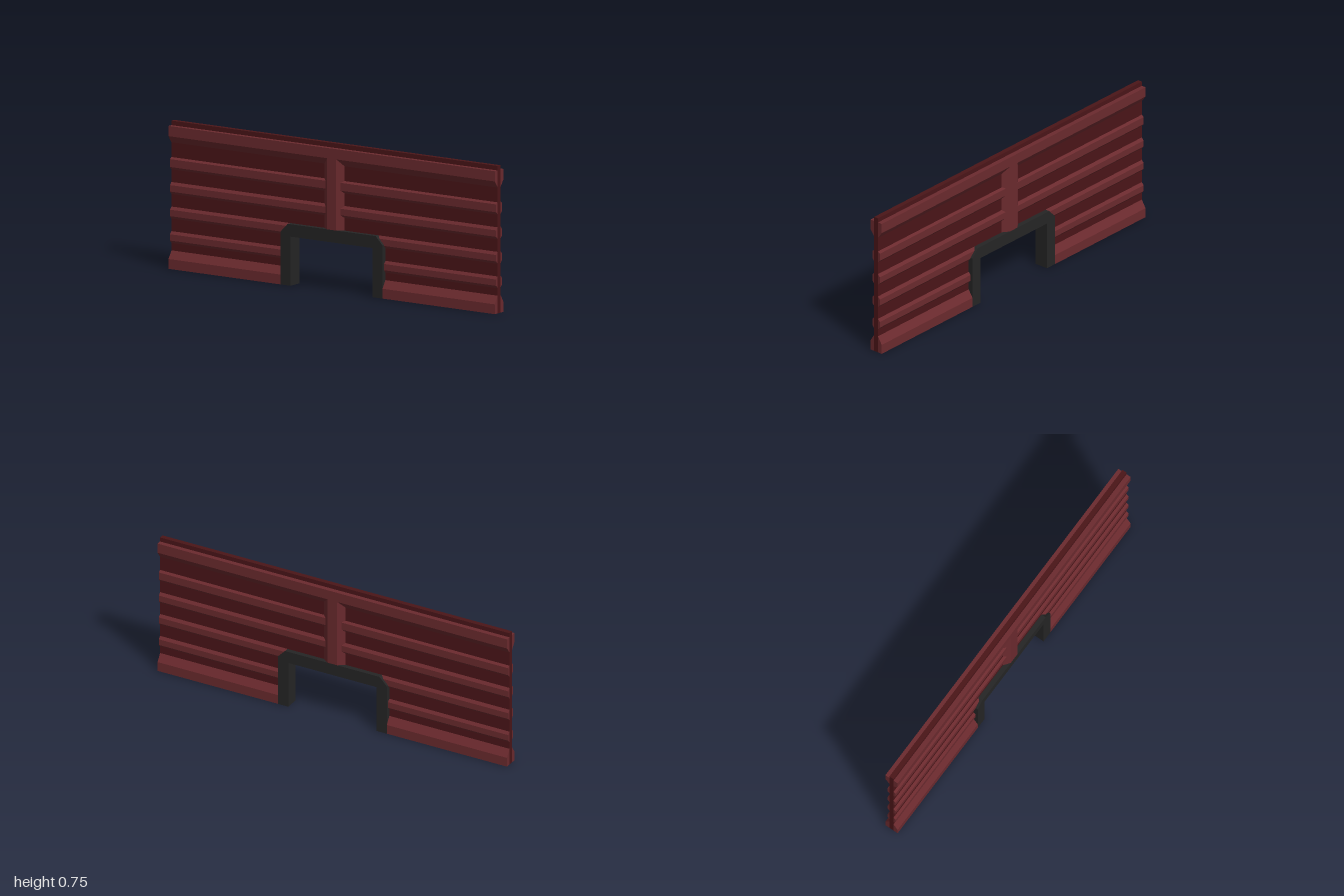
import * as THREE from 'three';

const mat = (color) => new THREE.MeshStandardMaterial({ color, flatShading: true });
const shapeOf = (pts) => new THREE.Shape(pts.map(([x, y]) => new THREE.Vector2(x, y)));
const extrude = (pts, depth) =>
  new THREE.ExtrudeGeometry(shapeOf(pts), { depth, bevelEnabled: false });

// Bar with a [z, y] profile running along x from x0 to x1
function barAlongX(profile, x0, x1) {
  return extrude(profile, x1 - x0).rotateY(-Math.PI / 2).translate(x1, 0, 0);
}

export function createModel() {
  const model = new THREE.Group();
  const wallMat = mat(0x4a1518);
  const trimMat = mat(0x6b2a2e);
  const frameMat = mat(0x252525);
  const T = 0.0125; // half thickness of the sheet
  const D = 0.0375; // half depth of the trim
  const R = 0.025; // half depth of the ribs

  const add = (parent, name, geometry, material) => {
    const mesh = new THREE.Mesh(geometry, material);
    mesh.name = name;
    parent.add(mesh);
  };

  // Thin sheet with the doorway cut out of its lower edge
  add(model, 'wallSheet', extrude([
    [-1, 0], [-0.28, 0], [-0.28, 0.28], [0.28, 0.28],
    [0.28, 0], [1, 0], [1, 0.75], [-1, 0.75],
  ], 2 * T).translate(0, 0, -T), wallMat);

  // Door frame with chamfered outer corners
  add(model, 'doorFrame', extrude([
    [-0.312, 0], [-0.252, 0], [-0.252, 0.25], [0.252, 0.25], [0.252, 0], [0.312, 0],
    [0.312, 0.27], [0.27, 0.313], [-0.27, 0.313], [-0.312, 0.27],
  ], 2 * D).translate(0, 0, -D), frameMat);

  // Bottom, outer bottom, outer top and top of each rib
  const ribs = [
    [0.128, 0.142, 0.174, 0.188],
    [0.252, 0.266, 0.299, 0.313],
    [0.377, 0.391, 0.424, 0.438],
    [0.502, 0.516, 0.556, 0.565],
  ];
  const skirt = [[T, 0], [D, 0], [D, 0.05], [T, 0.09]];
  const cap = [[T, 0.64], [D, 0.675], [D, 0.727], [T, 0.727]];

  // The same trim on both faces
  for (const side of ['front', 'back']) {
    const face = new THREE.Group();
    face.name = side + 'Trim';
    if (side === 'back') face.rotation.y = Math.PI;
    model.add(face);

    add(face, 'topRail', barAlongX(cap, -1, 1), trimMat);
    for (const [a, b, c, d] of ribs) {
      const profile = [[T, a], [R, b], [R, c], [T, d]];
      if (a > 0.3) {
        add(face, 'rib', barAlongX(profile, -1, 1), trimMat);
      } else {
        add(face, 'rib', barAlongX(profile, -1, -0.27), trimMat);
        add(face, 'rib', barAlongX(profile, 0.27, 1), trimMat);
      }
    }
    add(face, 'skirt', barAlongX(skirt, -1, -0.312), trimMat);
    add(face, 'skirt', barAlongX(skirt, 0.312, 1), trimMat);

    // Upright with sloping flanks above the doorway
    const post = extrude([[-0.062, -T], [-0.028, -D], [0.028, -D], [0.062, -T]], 0.362);
    add(face, 'centrePost', post.rotateX(-Math.PI / 2).translate(0, 0.313, 0), trimMat);
  }
  return model;
}
